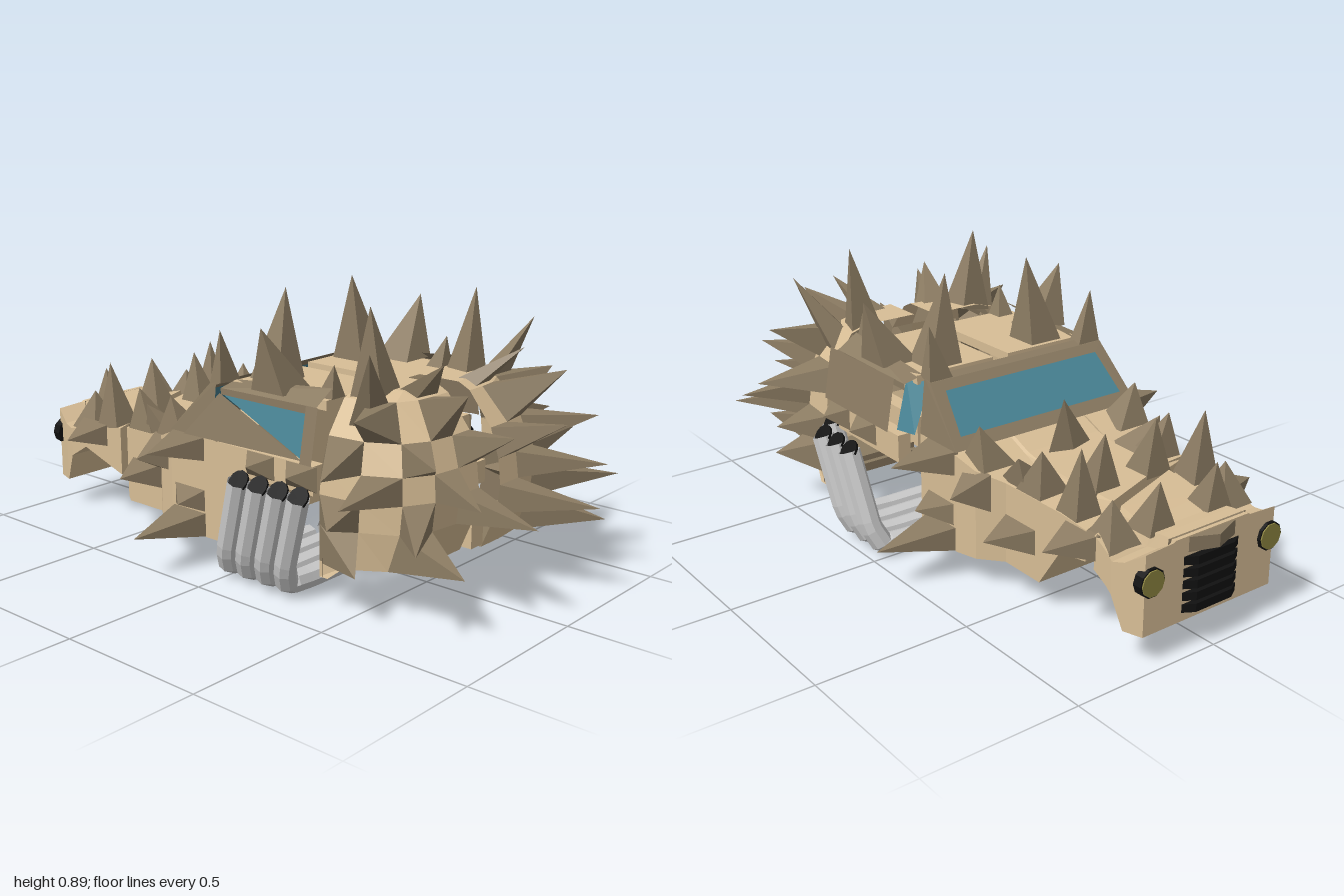
import * as THREE from 'three';

const mat = (color) => new THREE.MeshStandardMaterial({ color, flatShading: true, side: THREE.DoubleSide });
const TAN = mat(0xd8be96), BROWN = mat(0x8b7b62), GLASS = mat(0x4a8798), STEEL = mat(0xcccccc);
const BLACK = mat(0x111111), LAMP = mat(0x8c8440);

// Collects flat faces, each given as a list of corners drawn as a fan
class Faces {
  constructor() { this.p = []; }
  poly(...c) {
    for (let i = 1; i < c.length - 1; i++) this.p.push(...c[0], ...c[i], ...c[i + 1]);
    return this;
  }
  spike(corners, tip) {
    corners.forEach((c, i) => this.poly(c, corners[(i + 1) % corners.length], tip));
    return this;
  }
  mesh(name, material) {
    const g = new THREE.BufferGeometry();
    g.setAttribute('position', new THREE.Float32BufferAttribute(this.p, 3));
    g.computeVertexNormals();
    const m = new THREE.Mesh(g, material);
    m.name = name;
    return m;
  }
}

function box(name, material, x0, x1, y0, y1, z0, z1) {
  const m = new THREE.Mesh(new THREE.BoxGeometry(x1 - x0, y1 - y0, z1 - z0), material);
  m.position.set((x0 + x1) / 2, (y0 + y1) / 2, (z0 + z1) / 2);
  m.name = name;
  return m;
}

// Height of the underside, with the front wheel arch
const ARCH = [[-2, 0.1], [-0.91, 0.1], [-0.87, 0.2], [-0.82, 0.24], [-0.74, 0.26], [-0.65, 0.235], [-0.61, 0.2], [-0.56, 0.1], [2, 0.1]];
function underside(x) {
  const i = ARCH.findIndex((a) => a[0] >= x);
  const [a, b] = [ARCH[i - 1], ARCH[i]];
  return a[1] + (b[1] - a[1]) * (x - a[0]) / (b[0] - a[0]);
}

// Body loft; station: x, half width, fender height, hood height, skew of x by z
function loft(name, stations) {
  const f = new Faces();
  const rings = stations.map(([x, w, fender, hood, skew = 0]) => {
    const at = (z, y) => [x + skew * z, y ?? underside(x + skew * z), z];
    return [at(0), at(w), at(w, fender), at(0.15, fender + 0.005), at(0.14, hood),
      at(-0.14, hood), at(-0.15, fender + 0.005), at(-w, fender), at(-w)];
  });
  rings.slice(1).forEach((r, k) => r.forEach((p, i) => {
    const j = (i + 1) % r.length;
    f.poly(rings[k][i], rings[k][j], r[j], p);
  }));
  f.poly(...rings[0]).poly(...rings[rings.length - 1]);
  return f.mesh(name, TAN);
}

function frontBody() {
  const g = new THREE.Group();
  g.name = 'frontBody';
  g.add(loft('nose', [[-0.97, 0.25, 0.35, 0.36], [-0.91, 0.27, 0.31, 0.355], [-0.87, 0.28, 0.3, 0.35],
    [-0.82, 0.28, 0.32, 0.36, 0.1], [-0.7, 0.28, 0.35, 0.38, 0.35]]));
  g.add(loft('hood', [[-0.665, 0.28, 0.35, 0.38, 0.35], [-0.61, 0.28, 0.36, 0.38, 0.15], [-0.56, 0.28, 0.36, 0.38],
    [-0.4, 0.28, 0.36, 0.385], [-0.33, 0.34, 0.39, 0.4], [-0.26, 0.36, 0.42, 0.43], [-0.07, 0.36, 0.43, 0.435]]));

  // Hood spikes leaning forwards: base x, y, z, half size, tip x, y, z
  const top = [[-0.84, 0.34, 0.11, 0.05, -0.87, 0.49, 0.11], [-0.8, 0.31, 0.22, 0.06, -0.8, 0.44, 0.22],
    [-0.67, 0.34, 0.23, 0.05, -0.69, 0.56, 0.24], [-0.6, 0.37, 0.1, 0.05, -0.63, 0.55, 0.1],
    [-0.5, 0.35, 0.22, 0.06, -0.53, 0.5, 0.25], [-0.42, 0.36, 0.21, 0.06, -0.46, 0.46, 0.28],
    [-0.3, 0.39, 0.27, 0.06, -0.31, 0.52, 0.31]];
  // Flank spikes: base x, y, z, half length, half height, tip x, y, z
  const flank = [[-0.47, 0.22, 0.28, 0.07, 0.04, -0.46, 0.23, 0.41], [-0.74, 0.31, 0.27, 0.07, 0.04, -0.73, 0.31, 0.41],
    [-0.32, 0.33, 0.32, 0.06, 0.06, -0.34, 0.33, 0.44], [-0.18, 0.39, 0.35, 0.075, 0.04, -0.18, 0.4, 0.54],
    [-0.18, 0.14, 0.35, 0.075, 0.04, -0.18, 0.14, 0.6], [-0.18, 0.22, 0.35, 0.075, 0.04, -0.15, 0.22, 0.44]];
  const f = new Faces();
  for (const s of [1, -1]) {
    for (const [x, y, z, r, tx, ty, tz] of top) {
      f.spike([[-r, -r], [r, -r], [r, r], [-r, r]].map(([a, b]) => [x + a, y, s * (z + b)]), [tx, ty, s * tz]);
    }
    for (const [x, y, z, r, h, tx, ty, tz] of flank) {
      f.spike([[-r, -h], [r, -h], [r, h], [-r, h]].map(([a, b]) => [x + a, y + b, s * z]), [tx, ty, s * tz]);
    }
  }
  f.spike([[-0.38, 0.38, 0], [-0.36, 0.38, 0.09], [-0.32, 0.39, 0], [-0.36, 0.38, -0.09]], [-0.35, 0.55, -0.02]);
  g.add(f.mesh('hoodSpikes', BROWN));

  // Grille and headlights
  const hood = new Faces().poly([-1, 0.35, 0], [-0.95, 0.36, 0.15], [-0.95, 0.36, -0.15]);
  for (const z of [0.15, -0.15]) hood.poly([-1, 0.35, 0], [-0.95, 0.36, z], [-0.95, 0.31, z], [-1, 0.31, 0]);
  g.add(hood.mesh('grilleHood', BROWN));
  for (let i = 0; i < 5; i++) {
    const bar = new THREE.Mesh(new THREE.CylinderGeometry(0.14, 0.14, 0.026, 6), BLACK);
    bar.scale.x = 0.34;
    bar.position.set(-0.95, 0.14 + i * 0.037, 0);
    bar.name = 'grilleBar';
    g.add(bar);
  }
  for (const s of [1, -1]) {
    const rim = new THREE.Mesh(new THREE.CylinderGeometry(0.045, 0.045, 0.03, 10), BLACK);
    rim.rotation.z = Math.PI / 2;
    rim.position.set(-0.965, 0.265, s * 0.23);
    rim.name = 'headlightRim';
    const lens = rim.clone();
    lens.material = LAMP;
    lens.scale.set(0.9, 0.6, 0.9);
    lens.position.x = -0.975;
    lens.name = 'headlight';
    g.add(rim, lens);
  }
  return g;
}

function windshield() {
  const g = new THREE.Group();
  g.name = 'windshield';
  const f = new Faces();
  const outer = [[-0.26, 0.43, 0.36], [-0.1, 0.6, 0.34], [-0.1, 0.6, -0.34], [-0.26, 0.43, -0.36]];
  const inner = [[-0.23, 0.462, 0.32], [-0.125, 0.574, 0.3], [-0.125, 0.574, -0.3], [-0.23, 0.462, -0.32]];
  outer.forEach((p, i) => f.poly(p, outer[(i + 1) % 4], inner[(i + 1) % 4], inner[i]));
  // Header strip, side pillars and corner spikes
  f.poly(outer[1], outer[2], [-0.07, 0.61, -0.34], [-0.07, 0.61, 0.34]);
  for (const s of [1, -1]) {
    f.poly([-0.26, 0.43, s * 0.36], [-0.1, 0.6, s * 0.34], [-0.07, 0.61, s * 0.34], [-0.07, 0.43, s * 0.36]);
    f.spike([[-0.1, 0.59, s * 0.34], [-0.05, 0.61, s * 0.34], [-0.05, 0.6, s * 0.25], [-0.1, 0.59, s * 0.25]], [-0.07, 0.77, s * 0.32]);
  }
  g.add(f.mesh('windshieldFrame', BROWN), new Faces().poly(...inner).mesh('windshieldGlass', GLASS));
  return g;
}

// One half of the roof and door, from its inner edge z = 0 outwards
function cabinHalf(left) {
  const g = new THREE.Group();
  g.name = 'cabinHalf';
  g.add(box('roofPanel', TAN, -0.045, 0.335, 0.58, 0.61, 0, 0.29));
  const rail = new Faces().poly([-0.05, 0.595, 0.34], [0.34, 0.6, 0.34], [0.34, 0.645, 0.27], [-0.05, 0.61, 0.27])
    .poly([-0.05, 0.595, 0.34], [0.34, 0.6, 0.34], [0.34, 0.575, 0.34], [-0.05, 0.575, 0.34])
    .poly([0.3, 0.6, 0.34], [0.345, 0.6, 0.34], [0.345, 0.43, 0.37], [0.3, 0.43, 0.37]);
  if (left) {
    rail.poly([-0.19, 0.43, 0.37], [-0.05, 0.58, 0.345], [0.31, 0.44, 0.37]);
    g.add(new Faces().poly([-0.05, 0.577, 0.335], [0.31, 0.577, 0.335], [0.31, 0.435, 0.36]).mesh('sideGlass', GLASS));
    g.add(new Faces().poly([-0.07, 0.1, 0.36], [-0.01, 0.1, 0.36], [0.08, 0.4, 0.36], [-0.07, 0.43, 0.36]).mesh('lowerDoor', TAN));
  } else {
    rail.poly([0, 0.43, 0.375], [0.38, 0.43, 0.375], [0.38, 0.6, 0.345], [0, 0.6, 0.345]);
    g.add(new Faces().poly([-0.07, 0.43, 0.32], [0, 0.43, 0.34], [0, 0.59, 0.3], [-0.07, 0.59, 0.26]).mesh('sideGlass', GLASS));
  }
  const roofSpikes = [[0.03, 0.17, 0.06, 0.03, 0.89, 0.13], [0.14, 0.27, 0.065, 0.14, 0.81, 0.36], [0.31, 0.24, 0.03, 0.33, 0.71, 0.25]];
  for (const [x, z, r, tx, ty, tz] of roofSpikes) {
    rail.spike([[x - r, 0.61, z - r], [x + r, 0.61, z - r], [x + r, 0.61, z + r], [x - r, 0.61, z + r]], [tx, ty, tz]);
  }
  for (const x of [0.14, 0.3]) {
    rail.spike([[x - 0.06, 0.35, 0.36], [x + 0.06, 0.35, 0.36], [x + 0.06, 0.43, 0.36], [x - 0.06, 0.43, 0.36]], [x, 0.4, 0.43]);
  }
  g.add(rail.mesh('cabinFrame', BROWN), box('doorSill', TAN, -0.045, 0.35, 0.34, 0.43, 0.32, 0.365));
  return g;
}

// One half of the rear shell: rows of y, back reach, half width; cells with a tip carry a spike
function rearHalf() {
  const rows = [[0.14, 0.62, 0.36], [0.26, 0.67, 0.36], [0.35, 0.68, 0.36], [0.43, 0.67, 0.35], [0.52, 0.64, 0.32], [0.62, 0.56, 0.25]];
  const plan = [[1, 0], [1, 0.27], [0.96, 0.55], [0.8, 0.8], [0.45, 0.96], [0, 1]];
  const grid = rows.map(([y, back, w]) => plan.map(([a, b]) => [0.37 + a * (back - 0.37), y, b * w]));
  const tips = {
    '0,2': [0.86, 0.2, 0.32], '0,4': [0.58, 0.17, 0.45],
    '1,0': [0.955, 0.31, 0.11], '1,2': [0.81, 0.3, 0.48], '1,4': [0.5, 0.3, 0.48],
    '2,1': [0.88, 0.39, 0.28], '2,3': [0.6, 0.4, 0.55],
    '3,0': [0.85, 0.55, 0.08], '3,2': [0.79, 0.51, 0.37], '3,4': [0.52, 0.46, 0.53],
    '4,1': [0.77, 0.68, 0.2], '4,3': [0.57, 0.62, 0.45],
  };
  const shell = new Faces(), spikes = new Faces();
  for (let i = 0; i < rows.length - 1; i++) {
    for (let j = 0; j < plan.length - 1; j++) {
      const c = [grid[i][j], grid[i][j + 1], grid[i + 1][j + 1], grid[i + 1][j]];
      const tip = tips[`${i},${j}`];
      if (tip) spikes.spike(c, tip);
      else shell.poly(...c);
    }
  }
  // Crown, lower front plate and floor
  const rim = grid[rows.length - 1];
  const crown = [[0.37, 0.64, 0], [0.52, 0.64, 0], [0.5, 0.64, 0.14], [0.37, 0.64, 0.18]];
  shell.poly(...crown).poly(crown[1], rim[0], rim[1], rim[2], crown[2]).poly(crown[2], rim[2], rim[3], rim[4], rim[5], crown[3]);
  spikes.poly([0.39, 0.1, 0], [0.39, 0.1, 0.37], [0.39, 0.16, 0.37], [0.39, 0.16, 0]);
  spikes.poly([0.37, 0.14, 0], ...grid[0]);
  shell.poly([0.38, 0.1, 0.37], [0.41, 0.1, 0.37], [0.47, 0.15, 0.35], [0.38, 0.15, 0.37]);
  spikes.spike([[0.38, 0.63, 0.13], [0.47, 0.63, 0.11], [0.48, 0.61, 0.21], [0.38, 0.61, 0.24]], [0.43, 0.89, 0.21]);
  spikes.spike([[0.43, 0.6, 0.22], [0.5, 0.6, 0.2], [0.49, 0.55, 0.28], [0.42, 0.55, 0.29]], [0.55, 0.79, 0.36]);
  spikes.spike([[0.49, 0.64, 0.04], [0.55, 0.62, 0.04], [0.54, 0.62, 0.13], [0.48, 0.64, 0.13]], [0.65, 0.74, 0.15]);
  const g = new THREE.Group();
  g.name = 'rearHalf';
  g.add(shell.mesh('rearShell', TAN), spikes.mesh('rearSpikes', BROWN));
  return g;
}

// Exhaust pipe running outwards from z = start, then leaning back and up to a black mouth
function exhaustPipe(i, start) {
  const g = new THREE.Group();
  g.name = 'exhaustPipe';
  const x = 0.015 + i * 0.08;
  const path = new THREE.CurvePath();
  const pts = [[x, 0.038, start], [x, 0.038, 0.28], [x, 0.044, 0.375], [x + 0.02, 0.11, 0.407], [x + 0.095, 0.35, 0.43]].map((p) => new THREE.Vector3(...p));
  pts.slice(1).forEach((p, k) => path.add(new THREE.LineCurve3(pts[k], p)));
  const pipe = new THREE.Mesh(new THREE.TubeGeometry(path, 24, 0.036, 8), STEEL);
  pipe.name = 'pipe';
  const mouth = new THREE.Mesh(new THREE.CylinderGeometry(0.036, 0.036, 0.008, 12), BLACK);
  mouth.position.copy(pts[4]);
  mouth.rotation.x = 0.9;
  mouth.name = 'pipeMouth';
  g.add(pipe, mouth);
  return g;
}

export function createModel() {
  const model = new THREE.Group();
  model.name = 'spikedCar';
  model.add(frontBody(), windshield());
  for (const s of [1, -1]) {
    const half = new THREE.Group();
    half.name = s > 0 ? 'leftHalf' : 'rightHalf';
    const rear = rearHalf();
    if (s < 0) rear.position.x = 0.035;
    half.add(cabinHalf(s > 0), rear);
    half.scale.z = s;
    half.position.z = s > 0 ? 0 : -0.06;
    model.add(half);
    for (let i = 0; i < 4; i++) {
      const inset = s < 0 && i === 3;
      const pipe = exhaustPipe(i, inset ? 0.08 : 0);
      pipe.scale.z = s;
      pipe.position.z = s < 0 && !inset ? -0.08 : 0;
      model.add(pipe);
    }
  }
  // Strips bridging the two rear halves
  for (const [y0, y1] of [[0.15, 0.26], [0.35, 0.42]]) model.add(box('rearCentreStrip', TAN, 0.4, 0.66, y0, y1, -0.06, 0));
  return model;
}
